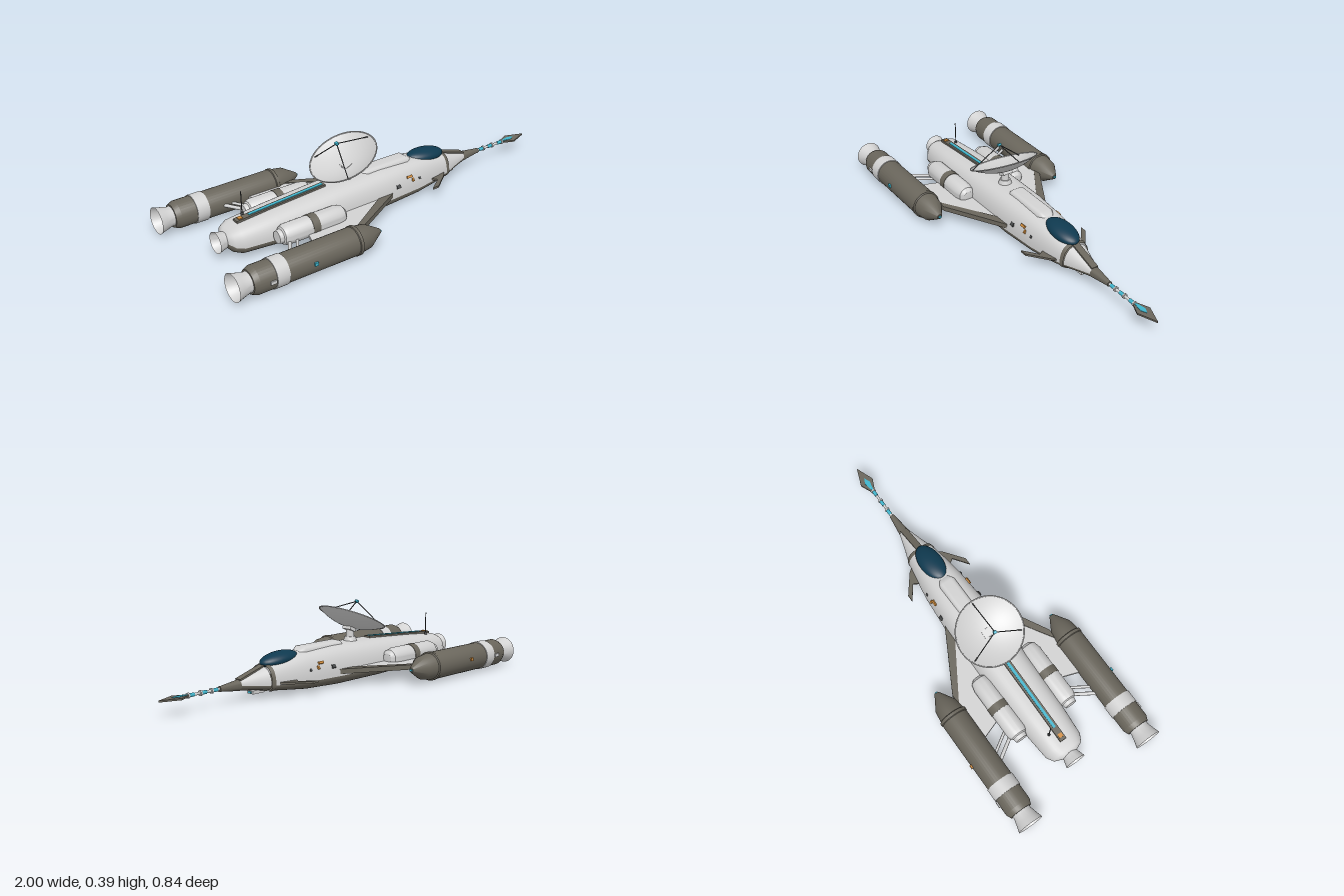
import * as THREE from 'three';
import { toCreasedNormals } from 'three/addons/utils/BufferGeometryUtils.js';

const mat = (name, color, side = THREE.FrontSide) => {
  const m = new THREE.MeshStandardMaterial({ color, side });
  m.name = name;
  return m;
};

export function createModel() {
  const root = new THREE.Group();
  root.name = 'spaceship';
  const white = mat('pale hull', 0xd2d2d2, THREE.DoubleSide);
  const dark = mat('dark hull', 0x6a665c, THREE.DoubleSide);
  const metal = mat('dark metal', 0x484a4b);
  const cyan = mat('cyan light', 0x3fb4cc);
  const orange = mat('orange marking', 0xd08c3c);
  const glass = mat('canopy glass', 0x0f3a50);

  const add = (name, geo, material, x = 0, y = 0, z = 0, parent = root) => {
    const m = new THREE.Mesh(geo, material);
    m.name = name;
    m.position.set(x, y, z);
    parent.add(m);
    return m;
  };
  const box = (name, material, size, pos, parent = root) =>
    add(name, new THREE.BoxGeometry(...size), material, ...pos, parent);

  // Turned part along x; points are [x, radius], ordered rear to front
  const turned = (name, material, pts, y, z, parent = root, sides = 32) => {
    const g = new THREE.LatheGeometry(pts.map(([x, r]) => new THREE.Vector2(r, x)), sides);
    g.rotateZ(-Math.PI / 2);
    return add(name, toCreasedNormals(g, 0.45), material, 0, y, z, parent);
  };

  // Round rod between two points
  const rod = (name, material, a, b, r, parent = root) => {
    const p = new THREE.Vector3(...a), q = new THREE.Vector3(...b);
    const m = add(name, new THREE.CylinderGeometry(r, r, p.distanceTo(q), 8), material, 0, 0, 0, parent);
    m.position.copy(p).lerp(q, 0.5);
    m.quaternion.setFromUnitVectors(new THREE.Vector3(0, 1, 0), q.sub(p).normalize());
    return m;
  };

  // Half hull skinned through stations [x, halfWidth, yTop, yMid, yBottom]
  const halfHull = (name, material, stations, upper, power = 0.6) => {
    const n = 24, pos = [], idx = [];
    stations.forEach(([x, w, top, mid, bot], i) => {
      for (let j = 0; j <= n; j++) {
        const a = Math.PI * (j / n + (upper ? 0 : 1));
        const c = Math.cos(a);
        pos.push(x, mid + Math.sin(a) * (upper ? top - mid : mid - bot),
          w * Math.sign(c) * Math.abs(c) ** power);
        if (i && j < n) {
          const p = (i - 1) * (n + 1) + j, q = p + n + 1;
          idx.push(p, q, p + 1, q, q + 1, p + 1);
        }
      }
    });
    const g = new THREE.BufferGeometry();
    g.setAttribute('position', new THREE.Float32BufferAttribute(pos, 3));
    g.setIndex(idx);
    g.computeVertexNormals();
    return add(name, g, material);
  };

  // Flat plate from an [x, z] outline, top at height y
  const plate = (name, material, outline, thick, y) => {
    const shape = new THREE.Shape(outline.map(p => new THREE.Vector2(...p)));
    const g = new THREE.ExtrudeGeometry(shape, { depth: thick, bevelEnabled: false });
    g.rotateX(Math.PI / 2);
    return add(name, g, material, 0, y, 0);
  };

  // Fuselage
  const hull = [
    [-0.845, 0.035, 0.11, 0.08, 0.055], [-0.825, 0.08, 0.135, 0.072, 0.035],
    [-0.79, 0.1, 0.15, 0.066, 0.022], [-0.6, 0.115, 0.166, 0.06, 0.012],
    [-0.3, 0.125, 0.185, 0.055, 0.003], [0, 0.122, 0.19, 0.052, 0],
    [0.2, 0.107, 0.182, 0.052, 0.007], [0.32, 0.09, 0.165, 0.055, 0.02],
    [0.41, 0.073, 0.146, 0.06, 0.03],
  ];
  const collar = [[0.398, 0.078, 0.151, 0.061, 0.025], [0.418, 0.073, 0.146, 0.061, 0.029]];
  const nose = [[0.418, 0.07, 0.143, 0.061, 0.031], [0.48, 0.049, 0.123, 0.067, 0.041],
    [0.565, 0.024, 0.099, 0.075, 0.052]];
  halfHull('upperHull', white, hull, true);
  halfHull('belly', dark, hull, false);
  halfHull('noseCollarTop', dark, collar, true);
  halfHull('noseCollarBottom', dark, collar, false);
  halfHull('noseTop', white, nose, true, 0.85);
  halfHull('noseBottom', dark, nose, false, 0.85);
  const noseStripe = box('noseStripe', dark, [0.15, 0.008, 0.034], [0.49, 0.122, 0]);
  noseStripe.rotation.z = -0.3;
  box('chinSensor', white, [0.07, 0.016, 0.04], [0.455, 0.032, 0]);
  box('chinLight', cyan, [0.006, 0.008, 0.018], [0.491, 0.032, 0]);

  // Nose lance
  turned('lanceBase', dark, [[0.56, 0], [0.56, 0.026], [0.66, 0.013], [0.67, 0.013], [0.67, 0]], 0.075, 0);
  turned('lanceShaft', white, [[0.66, 0.007], [0.87, 0.006], [0.87, 0]], 0.075, 0, root, 12);
  for (const x of [0.7, 0.762, 0.83]) {
    turned('lanceSleeve', cyan, [[x - 0.018, 0], [x - 0.018, 0.009], [x + 0.012, 0.009], [x + 0.012, 0]], 0.075, 0, root, 12);
    turned('lanceRing', white, [[x + 0.01, 0], [x + 0.01, 0.013], [x + 0.018, 0.013], [x + 0.018, 0]], 0.075, 0, root, 12);
  }
  plate('lanceBlade', dark, [[0.84, -0.008], [0.905, -0.036], [1, 0], [0.905, 0.036], [0.84, 0.008]], 0.008, 0.079);
  plate('bladeLight', cyan, [[0.845, -0.004], [0.9, -0.014], [0.93, 0], [0.9, 0.014], [0.845, 0.004]], 0.012, 0.081);

  // Canopy and dorsal fairing
  const canopy = add('canopy', new THREE.SphereGeometry(1, 32, 20), glass, 0.312, 0.163, 0);
  canopy.scale.set(0.108, 0.034, 0.058);
  canopy.rotation.z = -0.1;
  const fairing = [[-0.09, 0.03, 0.19, 0.17, 0.16], [-0.07, 0.045, 0.203, 0.17, 0.16],
    [0.17, 0.045, 0.203, 0.165, 0.15], [0.2, 0.03, 0.185, 0.16, 0.15]];
  halfHull('dorsalFairing', white, fairing, true, 0.4);

  // Spine channel with light strip
  const spine = new THREE.Group();
  spine.name = 'spine';
  spine.position.set(-0.54, 0.172, 0);
  spine.rotation.z = 0.066;
  root.add(spine);
  box('spineRail', dark, [0.48, 0.012, 0.034], [0, 0, 0], spine);
  box('spineLight', cyan, [0.4, 0.006, 0.014], [0.03, 0.006, 0], spine);
  box('spineMarker', orange, [0.02, 0.008, 0.022], [-0.215, 0.006, 0], spine);
  rod('antenna', metal, [-0.72, 0.14, -0.04], [-0.72, 0.27, -0.04], 0.0025);
  add('antennaBase', new THREE.CylinderGeometry(0.006, 0.008, 0.02, 10), metal, -0.72, 0.155, -0.04);

  // Dish pedestal
  add('pedestalBase', new THREE.CylinderGeometry(0.026, 0.034, 0.024, 24), white, -0.175, 0.196, 0);
  add('pedestal', new THREE.CylinderGeometry(0.019, 0.021, 0.05, 24), white, -0.175, 0.223, 0);
  box('pedestalHead', white, [0.04, 0.018, 0.054], [-0.168, 0.247, 0]).rotation.z = 0.43;

  // Dish with feed on three struts
  const dish = new THREE.Group();
  dish.name = 'dish';
  dish.position.set(-0.187, 0.299, 0);
  dish.rotation.z = 0.43;
  root.add(dish);
  const R = 0.168, bowl = [];
  for (let i = 0; i <= 10; i++) bowl.push(new THREE.Vector2(R * i / 10, 0.05 * ((i / 10) ** 2 - 1)));
  add('dishBowl', new THREE.LatheGeometry(bowl, 48), white, 0, 0, 0, dish);
  const rim = add('dishRim', new THREE.TorusGeometry(R, 0.003, 8, 48), white, 0, 0, 0, dish);
  rim.rotation.x = Math.PI / 2;
  for (let i = 0; i < 3; i++) {
    const a = i * Math.PI * 2 / 3;
    rod('feedStrut', metal, [R * 0.93 * Math.cos(a), -0.005, R * 0.93 * Math.sin(a)], [0, 0.085, 0], 0.0025, dish);
  }
  box('dishFeed', cyan, [0.014, 0.014, 0.016], [0, 0.085, 0], dish);

  // Bell nozzle with glow; x is its rear edge
  const nozzle = (x, len, r, y, z, parent = root) => {
    turned('nozzle', white, [[x, r], [x + len * 0.35, r * 0.86], [x + len * 0.75, r * 0.72], [x + len, r * 0.74]], y, z, parent);
    turned('nozzleGlow', cyan, [[x + len * 0.7, 0], [x + len * 0.7, r * 0.7], [x + len * 0.75, r * 0.7], [x + len * 0.75, 0]], y, z, parent);
  };
  nozzle(-0.885, 0.065, 0.052, 0.082, 0);

  // Mirrored parts
  for (const s of [1, -1]) {
    const zs = pts => pts.map(([x, z]) => [x, z * s]);

    // Outer engine pod
    const pod = new THREE.Group();
    pod.name = s > 0 ? 'leftPod' : 'rightPod';
    pod.position.set(0, 0.075, 0.345 * s);
    root.add(pod);
    nozzle(-1, 0.085, 0.066, 0, 0, pod);
    turned('podBody', dark, [[-0.925, 0], [-0.925, 0.056], [-0.9, 0.067], [-0.39, 0.068], [-0.31, 0.057],
      [-0.235, 0.012], [-0.235, 0]], 0, 0, pod);
    turned('podBand', white, [[-0.82, 0.066], [-0.82, 0.071], [-0.757, 0.071], [-0.757, 0.066]], 0, 0, pod);
    turned('podShoulder', dark, [[-0.39, 0.066], [-0.385, 0.071], [-0.37, 0.071], [-0.365, 0.062]], 0, 0, pod);
    box('podTipLight', cyan, [0.008, 0.009, 0.014], [-0.233, 0, 0], pod);
    box('podMarker', s > 0 ? cyan : orange, [0.018, 0.016, 0.01], [-0.625, 0.008, 0.069 * s], pod);
    box('podClamp', white, [0.03, 0.016, 0.01], [-0.84, 0, 0.068 * s], pod);

    // Inner booster
    const zb = 0.145 * s, yb = 0.097;
    turned('booster', white, [[-0.655, 0], [-0.655, 0.03], [-0.635, 0.034], [-0.63, 0.042], [-0.61, 0.05], [-0.34, 0.05],
      [-0.305, 0.042], [-0.29, 0.025], [-0.287, 0]], yb, zb);
    turned('boosterBand', dark, [[-0.488, 0.048], [-0.488, 0.052], [-0.45, 0.052], [-0.45, 0.048]], yb, zb);

    // Wing with dark leading edge and rear braces
    plate('wing', white, zs([[0.0, 0.09], [-0.33, 0.29], [-0.55, 0.29], [-0.48, 0.09]]), 0.016, 0.082);
    plate('wingLeadingEdge', dark, zs([[0.04, 0.09], [0.02, 0.12], [-0.29, 0.29], [-0.345, 0.29], [-0.02, 0.09]]), 0.024, 0.086);
    rod('wingBrace', white, [-0.68, 0.075, 0.29 * s], [-0.56, 0.075, 0.1 * s], 0.009);
    rod('wingBrace', white, [-0.64, 0.075, 0.29 * s], [-0.52, 0.075, 0.1 * s], 0.007);

    // Canard
    plate('canard', dark, zs([[0.27, 0.07], [0.3, 0.12], [0.225, 0.175], [0.262, 0.175], [0.36, 0.1], [0.39, 0.06]]), 0.01, 0.072);

    // Side markings
    const mark = (name, m, size, x, y, z) => {
      box(name, m, size, [x, y, z * s]).rotation.x = -0.55 * s;
    };
    mark('sideMarker', orange, [0.03, 0.012, 0.009], 0.135, 0.132, 0.102);
    mark('sideMarkerSmall', orange, [0.01, 0.018, 0.009], 0.155, 0.112, 0.106);
    mark('sideHatch', metal, [0.022, 0.018, 0.009], 0.06, 0.105, 0.113);
    mark('sideVent', metal, [0.012, 0.012, 0.009], 0.2, 0.105, 0.1);
  }
  return root;
}
